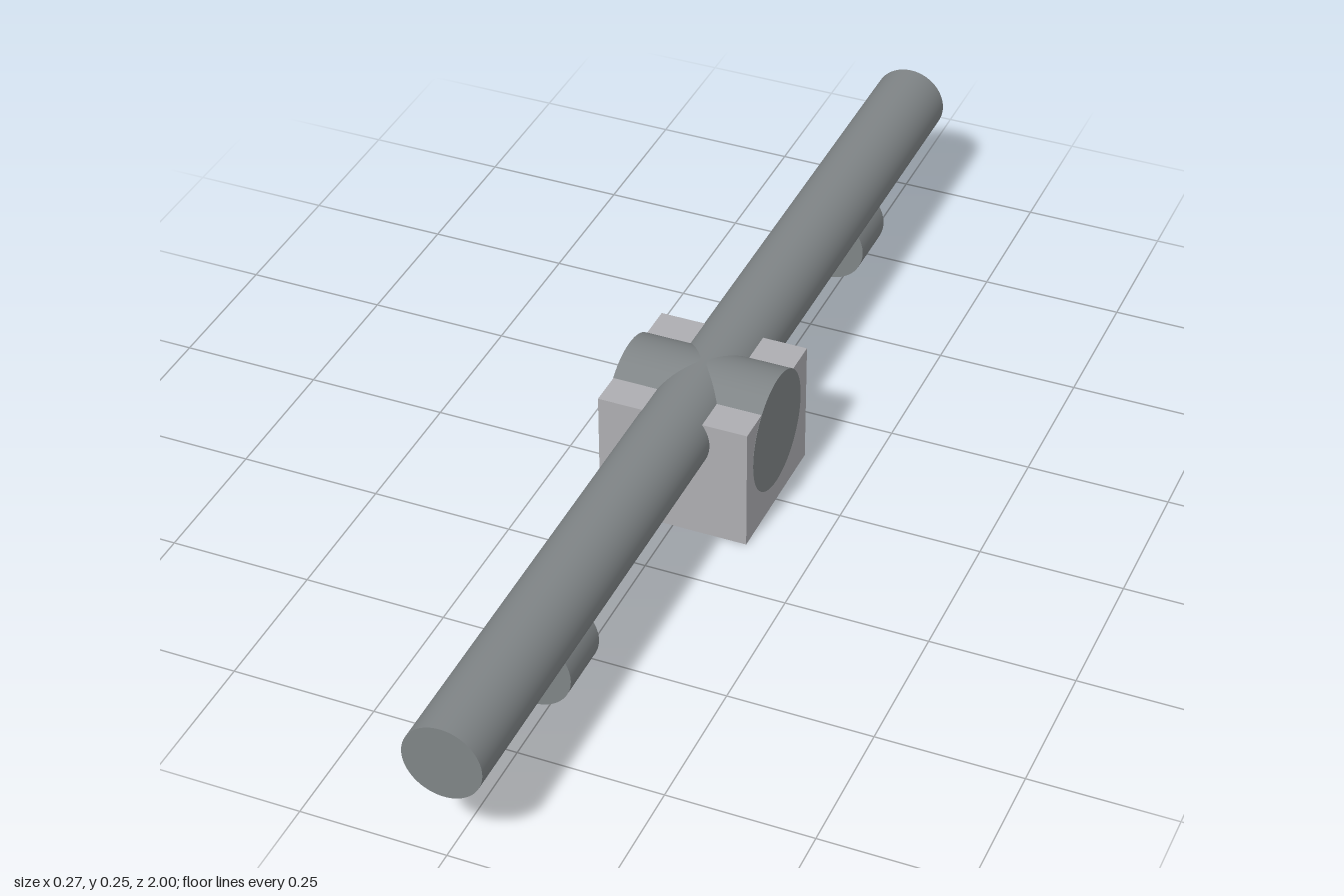
import * as THREE from 'three';

export function createModel() {
  const model = new THREE.Group();
  const darkMetal = new THREE.MeshStandardMaterial({ color: 0x7f8486 });
  darkMetal.name = 'dark metal';
  const lightMetal = new THREE.MeshStandardMaterial({ color: 0xadadb1 });
  lightMetal.name = 'light metal';

  function add(name, geometry, material, y, z = 0) {
    const mesh = new THREE.Mesh(geometry, material);
    mesh.name = name;
    mesh.position.set(0, y, z);
    model.add(mesh);
  }
  const rod = (radius, length) => new THREE.CylinderGeometry(radius, radius, length, 64);

  // Long bar running front to back
  add('mainBar', rod(0.0667, 2).rotateX(Math.PI / 2), darkMetal, 0.187);

  // Central block and the wide pin crossing it, ends just proud of the block
  add('centralBlock', new THREE.BoxGeometry(0.267, 0.2267, 0.267), lightMetal, 0.1133);
  add('crossPin', rod(0.1067, 0.268).rotateZ(Math.PI / 2), darkMetal, 0.1467);

  // Short stubs under both halves of the bar
  for (const side of [1, -1]) {
    add(side > 0 ? 'frontStub' : 'backStub',
      rod(0.0667, 0.107).rotateX(Math.PI / 2), darkMetal, 0.12, side * 0.635);
  }
  return model;
}
